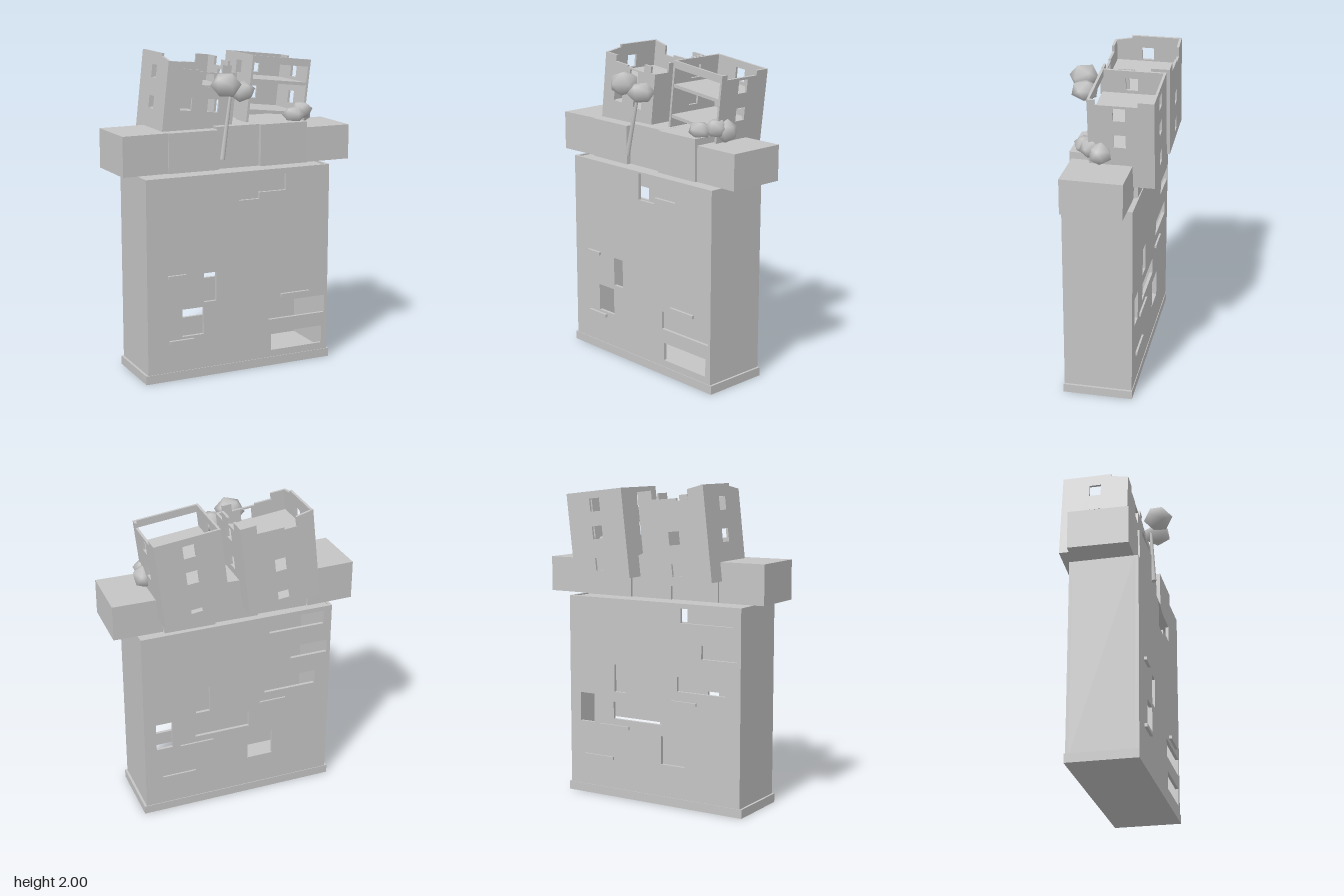
import * as THREE from 'three';
import { mergeVertices } from 'three/addons/utils/BufferGeometryUtils.js';

const stone = new THREE.MeshStandardMaterial({ color: 0xc4c4c4 });
stone.name = 'pale grey stone';

function add(parent, name, geo) {
  const m = new THREE.Mesh(geo, stone);
  m.name = name;
  parent.add(m);
  return m;
}

// box given by its minimum and maximum corners
function box(parent, name, x0, x1, y0, y1, z0, z1) {
  const m = add(parent, name, new THREE.BoxGeometry(x1 - x0, y1 - y0, z1 - z0));
  m.position.set((x0 + x1) / 2, (y0 + y1) / 2, (z0 + z1) / 2);
  return m;
}

// flat wall from an outline, with holes given as outlines
const rect = (x0, x1, y0, y1) => [[x0, y0], [x1, y0], [x1, y1], [x0, y1]];
const vec = (pts) => pts.map(([x, y]) => new THREE.Vector2(x, y));
function wall(parent, name, outline, holes, depth) {
  const s = new THREE.Shape(vec(outline));
  holes.forEach((h) => s.holes.push(new THREE.Path(vec(h))));
  return add(parent, name, new THREE.ExtrudeGeometry(s, { depth, bevelEnabled: false }));
}

// rounded low-poly foliage
function blob(parent, name, x, y, z, rx, ry, rz, turn) {
  let g = new THREE.IcosahedronGeometry(1, 0);
  g.deleteAttribute('uv');
  g.deleteAttribute('normal');
  g = mergeVertices(g);
  g.rotateX(turn).rotateZ(turn * 0.7).scale(rx, ry, rz);
  g.computeVertexNormals();
  add(parent, name, g).position.set(x, y, z);
}

const T = 0.015;

// tilted open-topped tower; w, d, h are its size, origin at bottom centre
function tower(name, w, d, opts) {
  const g = new THREE.Group();
  g.name = name;
  const a = w / 2, b = d / 2;
  const win = (x, y) => rect(x - 0.037, x + 0.037, y - 0.04, y + 0.04);
  const outline = (half, top) => [[-half, 0], [half, 0], ...top];
  const wins = (list) => list.map(([x, y]) => win(x, y));
  wall(g, 'towerBackWall', outline(a, opts.backTop), wins(opts.backWindows), T).position.z = -b;
  if (opts.frontTop) {
    wall(g, 'towerFrontWall', outline(a, opts.frontTop), wins(opts.frontWindows), T).position.z = b - T;
  } else {
    box(g, 'frontBeam', -a, a, opts.beam[0], opts.beam[1], b - T, b);
  }
  for (const side of [-1, 1]) {
    const top = side < 0 ? opts.leftTop : opts.rightTop;
    const m = wall(g, 'towerSideWall', outline(b - 0.001, top), wins(opts.sideWindows), T);
    m.rotation.y = -Math.PI / 2;
    m.position.x = side < 0 ? -a + T : a;
  }
  for (const y of opts.floors) box(g, 'towerFloor', -a + T, a - T, y, y + 0.02, -b + T, b - 0.005);
  return g;
}

export function createModel() {
  const root = new THREE.Group();
  root.name = 'ruinedBuilding';

  // main hollow block
  const main = new THREE.Group();
  main.name = 'mainBlock';
  root.add(main);
  const X0 = -0.635, X1 = 0.615, Z = 0.213, H = 1.28;
  box(main, 'plinth', -0.65, 0.63, 0, 0.055, -0.217, 0.217);
  const face = rect(X0, X1, 0.05, H);
  wall(main, 'frontWall', face, [
    rect(0.19, 0.595, 0.305, 0.42),
    rect(0.21, 0.575, 0.10, 0.215),
    rect(-0.258, -0.175, 0.48, 0.665),
    rect(-0.405, -0.262, 0.275, 0.45),
    [[-0.02, 1.1], [0.12, 1.1], [0.12, 1.14], [0.305, 1.14], [0.305, 1.245], [0.11, 1.245], [0.045, 1.27], [-0.02, 1.27]],
  ], 0.02).position.z = Z - 0.02;
  wall(main, 'backWall', face, [
    rect(-0.58, -0.216, 1.16, 1.25),
    rect(-0.61, -0.363, 0.95, 1.035),
    rect(-0.534, -0.19, 0.734, 0.826),
    rect(0.18, 0.273, 0.685, 0.86),
    rect(0.43, 0.537, 0.47, 0.656),
    rect(-0.084, 0.28, 0.51, 0.62),
    rect(-0.247, -0.076, 0.26, 0.44),
  ], 0.02).position.z = -Z;
  box(main, 'sideWall', X0, X0 + 0.02, 0.05, H, -Z + 0.02, Z - 0.02);
  box(main, 'sideWall', X1 - 0.02, X1, 0.05, H, -Z + 0.02, Z - 0.02);
  box(main, 'roofPlate', X0 + 0.02, X1 - 0.02, 1.258, 1.272, -Z + 0.02, Z - 0.02);

  // thin sills
  for (const [x0, x1, y, s] of [
    [-0.5, -0.385, 0.655, 1], [-0.495, -0.33, 0.24, 1], [0.275, 0.475, 0.45, 1],
    [-0.33, -0.155, 0.655, -1], [0.28, 0.5, 0.24, -1], [0.16, 0.38, 0.45, -1],
  ]) {
    const z = s > 0 ? [Z, 0.231] : [-0.225, -Z];
    box(main, 'sill', x0, x1, y, y + 0.02, z[0], z[1]);
  }

  // overhanging row of blocks
  for (const [x0, x1, top, z0, z1, turn] of [
    [-0.77, -0.47, 1.545, -0.195, 0.178, 0.025],
    [-0.47, -0.145, 1.545, -0.19, 0.19, -0.02],
    [-0.145, 0.14, 1.56, -0.2, 0.165, -0.02],
    [0.14, 0.46, 1.56, -0.215, 0.195, -0.01],
    [0.465, 0.77, 1.52, -0.188, 0.185, -0.015],
  ]) box(root, 'overhangBlock', x0, x1, 1.3, top, z0, z1).rotation.y = turn;

  // left-hand tower with broken crown
  const t1 = tower('brokenTower', 0.46, 0.425, {
    backTop: [[0.23, 0.575], [0.13, 0.575], [0.13, 0.52], [0.0, 0.515], [-0.04, 0.515], [-0.04, 0.5],
      [-0.12, 0.5], [-0.12, 0.56], [-0.23, 0.577]],
    frontTop: [[0.23, 0.5], [0.19, 0.5], [0.19, 0.54], [0.13, 0.54], [0.13, 0.49], [-0.02, 0.49],
      [-0.02, 0.5], [-0.13, 0.5], [-0.13, 0.54], [-0.23, 0.54]],
    leftTop: [[0.21, 0.54], [0.1, 0.56], [0.1, 0.577], [-0.21, 0.577]],
    rightTop: [[0.21, 0.5], [0.1, 0.5], [0.1, 0.56], [0, 0.56], [0, 0.52], [-0.1, 0.52], [-0.1, 0.575], [-0.21, 0.575]],
    backWindows: [[0.0, 0.09], [0.0, 0.28]],
    frontWindows: [[-0.09, 0.29], [0.09, 0.29], [0.04, 0.44]],
    sideWindows: [[0.0, 0.27], [0.0, 0.46]],
    floors: [0, 0.2, 0.39],
  });
  t1.position.set(-0.267, 1.405, -0.107);
  t1.rotation.z = -0.113;

  // right-hand tower, open at the front
  const flat = 0.55;
  const t2 = tower('openTower', 0.41, 0.39, {
    backTop: [[0.205, flat], [-0.205, flat]],
    beam: [0.505, 0.55],
    leftTop: [[0.194, flat], [-0.194, flat]],
    rightTop: [[0.194, flat], [0.15, flat], [0.15, 0.52], [-0.1, 0.52], [-0.1, flat], [-0.194, flat]],
    backWindows: [[0, 0.1], [0, 0.295], [0, 0.465]],
    sideWindows: [[0.01, 0.1], [0.01, 0.295], [0.01, 0.465]],
    floors: [0, 0.195, 0.385],
  });
  t2.position.set(0.286, 1.405, -0.125);
  t2.rotation.z = -0.113;
  root.add(t1, t2);

  // leaning tree
  const tree = new THREE.Group();
  tree.name = 'tree';
  root.add(tree);
  const from = new THREE.Vector3(-0.13, 1.365, 0.205), to = new THREE.Vector3(-0.06, 1.76, 0.175);
  const dir = to.clone().sub(from);
  const trunk = add(tree, 'trunk', new THREE.CylinderGeometry(0.009, 0.016, dir.length(), 6));
  trunk.position.copy(from).add(to).multiplyScalar(0.5);
  trunk.quaternion.setFromUnitVectors(new THREE.Vector3(0, 1, 0), dir.normalize());
  blob(tree, 'treeCrown', -0.12, 1.822, 0.235, 0.095, 0.082, 0.095, 0.5);
  blob(tree, 'treeCrown', 0.0, 1.775, 0.205, 0.085, 0.067, 0.09, 1.1);

  // bush beside the open tower
  const bush = new THREE.Group();
  bush.name = 'bush';
  root.add(bush);
  blob(bush, 'bushLeaf', 0.412, 1.595, 0.112, 0.077, 0.055, 0.07, 0.3);
  blob(bush, 'bushLeaf', 0.495, 1.612, 0.06, 0.07, 0.06, 0.07, 0.9);
  blob(bush, 'bushLeaf', 0.52, 1.59, 0.0, 0.067, 0.073, 0.075, 1.4);
  return root;
}
